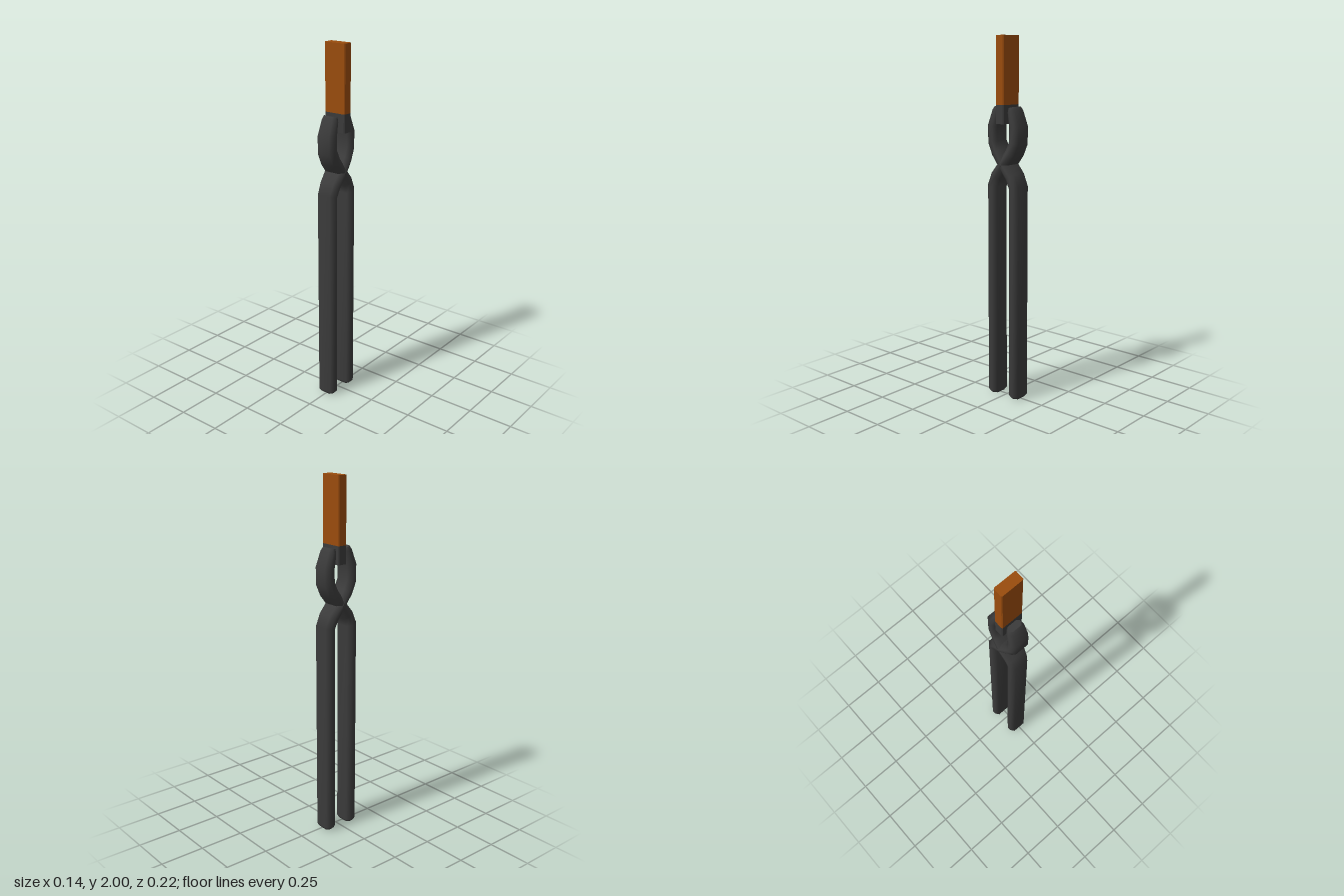
import * as THREE from 'three';

// Chamfered cross-section, counterclockwise: [half width, half depth]
const SECTION = [[1, -0.3], [1, 0.3], [0.7, 1], [-0.7, 1], [-1, 0.3], [-1, -0.3], [-0.7, -1], [0.7, -1]];

// Stations along one arm: y, z, half width (x), half thickness
const PATH = [
  [0.003, 0.075, 0.04, 0.024],
  [0.02, 0.075, 0.057, 0.033],
  [1.2, 0.075, 0.057, 0.033],
  [1.255, 0.05, 0.06, 0.033],
  [1.32, 0, 0.065, 0.028],
  [1.385, -0.049, 0.058, 0.032],
  [1.44, -0.074, 0.055, 0.033],
  [1.525, -0.075, 0.054, 0.033],
  [1.605, -0.052, 0.048, 0.027],
  [1.626, -0.047, 0.04, 0.02],
];

function armGeometry() {
  const n = SECTION.length;
  const positions = [];
  const index = [];
  PATH.forEach(([y, z, w, d], i) => {
    const a = PATH[Math.max(i - 1, 0)];
    const b = PATH[Math.min(i + 1, PATH.length - 1)];
    const before = new THREE.Vector2(y - a[0], z - a[1]).normalize();
    const after = new THREE.Vector2(b[0] - y, b[1] - z).normalize();
    const t = before.add(after).normalize();
    for (const [u, v] of SECTION) positions.push(u * w, y + v * d * t.y, z - v * d * t.x);
  });
  const last = PATH.length - 1;
  for (let i = 0; i < last; i++) {
    for (let j = 0; j < n; j++) {
      const k = (j + 1) % n;
      const a = i * n + j, b = i * n + k, c = b + n, d = a + n;
      index.push(a, b, c, a, c, d);
    }
  }
  // end caps, with their own vertices to keep the rim crisp
  for (const [ring, flip] of [[0, true], [last, false]]) {
    const base = positions.length / 3;
    positions.push(...positions.slice(ring * n * 3, (ring + 1) * n * 3));
    for (let j = 1; j < n - 1; j++) {
      if (flip) index.push(base, base + j + 1, base + j);
      else index.push(base, base + j, base + j + 1);
    }
  }
  const g = new THREE.BufferGeometry();
  g.setAttribute('position', new THREE.Float32BufferAttribute(positions, 3));
  g.setIndex(index);
  g.computeVertexNormals();
  return g;
}

// Upright bar piece with chamfered long edges
function barGeometry(w, d, y0, y1, bevel) {
  const x = w / 2, z = d / 2, c = 0.005;
  const s = new THREE.Shape([
    [x, -z + c], [x, z - c], [x - c, z], [-x + c, z],
    [-x, z - c], [-x, -z + c], [-x + c, -z], [x - c, -z],
  ].map(([px, pz]) => new THREE.Vector2(px, -pz)));
  const g = new THREE.ExtrudeGeometry(s, { depth: y1 - y0 - bevel, bevelEnabled: false });
  g.rotateX(-Math.PI / 2);
  g.translate(0, y0, 0);
  return g;
}

export function createModel() {
  const iron = new THREE.MeshStandardMaterial({ color: 0x3b3b3b });
  iron.name = 'dark iron';
  const hot = new THREE.MeshStandardMaterial({ color: 0x9a4c0d });
  hot.name = 'heated orange';

  const model = new THREE.Group();
  model.name = 'tongs holding a bar';

  // Two identical crossing arms
  const arm = armGeometry();
  ['frontArm', 'backArm'].forEach((name, i) => {
    const mesh = new THREE.Mesh(arm, iron);
    mesh.name = name;
    mesh.position.x = -0.005;
    mesh.rotation.y = i * Math.PI;
    model.add(mesh);
  });

  // Gripped bar: cool lower end and glowing upper length
  const bar = new THREE.Group();
  bar.name = 'bar';
  bar.position.set(0.003, 0, -0.004);
  const cool = new THREE.Mesh(barGeometry(0.13, 0.056, 1.54, 1.64, 0), iron);
  cool.name = 'coolBarEnd';
  const glow = new THREE.Mesh(barGeometry(0.13, 0.056, 1.64, 2, 0), hot);
  glow.name = 'heatedBar';
  bar.add(cool, glow);
  model.add(bar);
  return model;
}
